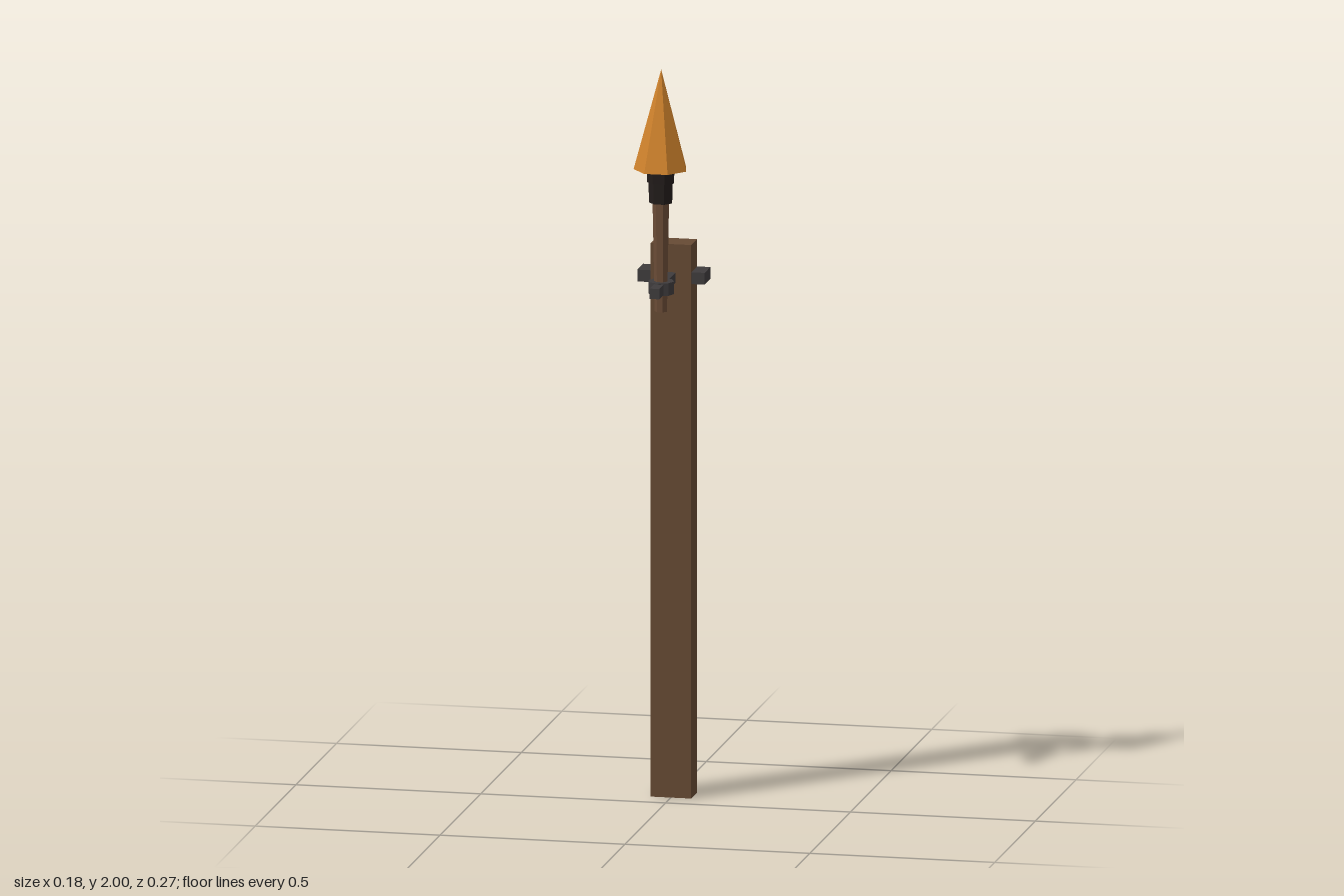
import * as THREE from 'three';

const material = (name, color) => {
  const m = new THREE.MeshStandardMaterial({ color, flatShading: true });
  m.name = name;
  return m;
};

export function createModel() {
  const wood = material('post wood', 0x664a34);
  const shaftWood = material('shaft wood', 0x6b4c37);
  const iron = material('dark iron', 0x3f3c3d);
  const char = material('charred wrap', 0x231d1b);
  const fire = material('flame orange', 0xcf822c);

  const group = new THREE.Group();
  group.name = 'postTorch';
  const torchZ = 0.054;

  const add = (name, geometry, mat, x, y, z) => {
    const mesh = new THREE.Mesh(geometry, mat);
    mesh.name = name;
    mesh.position.set(x, y, z);
    group.add(mesh);
    return mesh;
  };
  // Box given by its width and its y and z ranges
  const box = (name, mat, w, y0, y1, z0, z1) =>
    add(name, new THREE.BoxGeometry(w, y1 - y0, z1 - z0), mat, 0, (y0 + y1) / 2, (z0 + z1) / 2);
  // Tapered faceted section on the torch axis, one corner pointing back
  const section = (name, mat, rTop, rBottom, y0, y1, sides = 7) =>
    add(name, new THREE.CylinderGeometry(rTop, rBottom, y1 - y0, sides, 1, false, Math.PI),
      mat, 0, (y0 + y1) / 2, torchZ);

  // Upright post
  box('post', wood, 0.11, 0, 1.5, -0.137, -0.065);

  // Iron bracket: band around the post, arm and ring
  box('bracketBand', iron, 0.182, 1.394, 1.426, -0.138, -0.0665);
  box('bracketArm', iron, 0.026, 1.396, 1.424, -0.066, 0.137);
  section('bracketRing', iron, 0.035, 0.035, 1.393, 1.427, 8);

  // Torch
  section('shaft', shaftWood, 0.023, 0.017, 1.345, 1.645);
  section('lowerWrap', char, 0.034, 0.032, 1.64, 1.7);
  section('upperWrap', char, 0.039, 0.037, 1.695, 1.732);
  section('flame', fire, 0, 0.073, 1.73, 2);

  return group;
}
